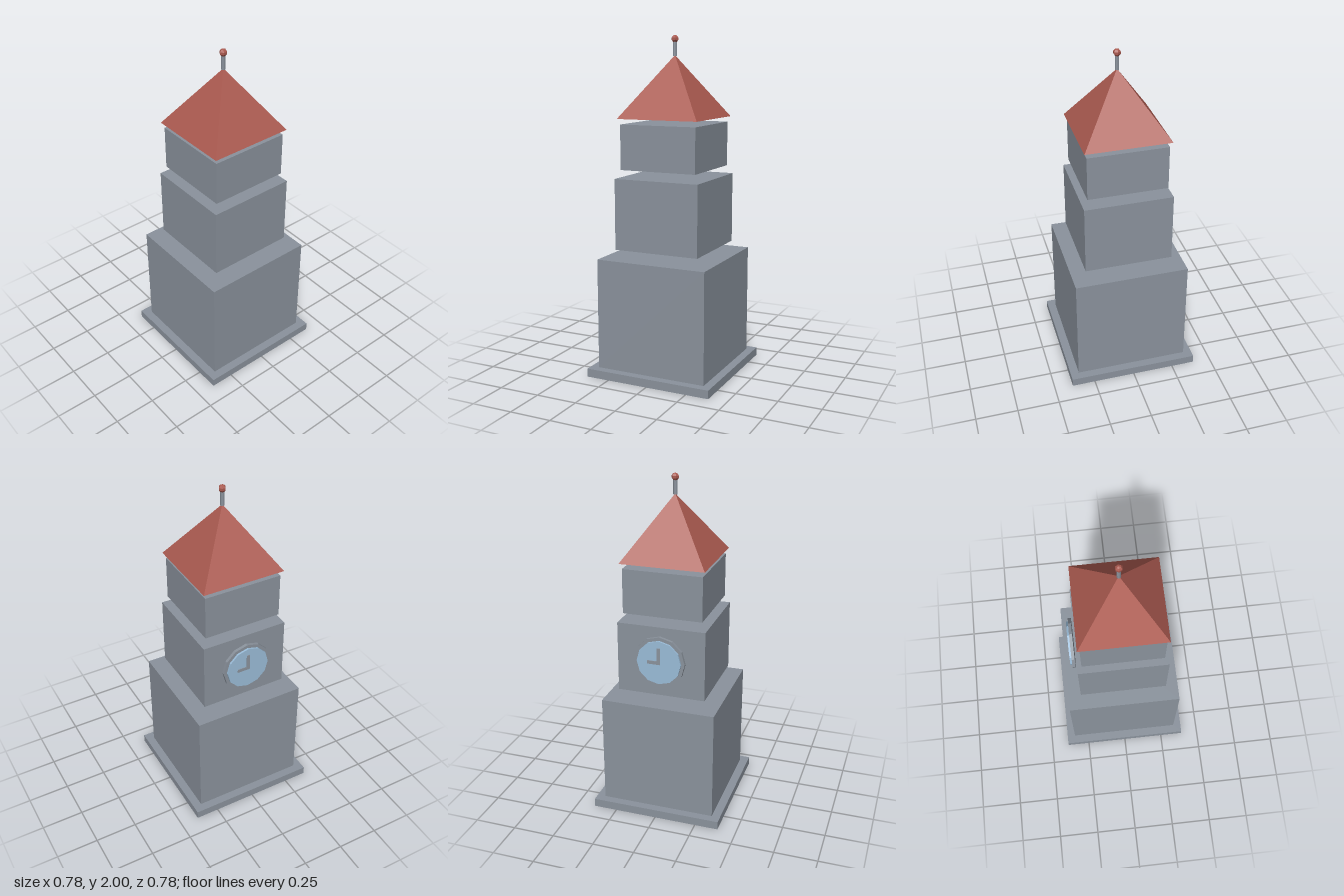
import * as THREE from 'three';

export function createModel() {
  const model = new THREE.Group();
  const material = (name, color) => {
    const m = new THREE.MeshStandardMaterial({ color, flatShading: true });
    m.name = name;
    return m;
  };
  const stone = material('stone grey', 0x8a929c);
  const tile = material('roof red', 0xab5a50);
  const glass = material('dial blue', 0x9abcd8);

  const add = (name, geometry, mat, x, y, z, parent = model) => {
    const mesh = new THREE.Mesh(geometry, mat);
    mesh.name = name;
    mesh.position.set(x, y, z);
    parent.add(mesh);
    return mesh;
  };

  // Plinth and stacked tiers, separated by narrow gaps: name, width, bottom, top
  const tiers = [
    ['plinth', 0.78, 0, 0.05],
    ['lowerTier', 0.68, 0.05, 0.71],
    ['middleTier', 0.524, 0.76, 1.18],
    ['upperTier', 0.472, 1.23, 1.493],
  ];
  for (const [name, width, bottom, top] of tiers) {
    add(name, new THREE.BoxGeometry(width, top - bottom, width), stone, 0, (bottom + top) / 2, 0);
  }

  // Four-sided roof, turned so its faces line up with the walls
  const roof = new THREE.ConeGeometry(0.25 * Math.SQRT2, 0.36, 4).rotateY(Math.PI / 4);
  add('roof', roof, tile, 0, 1.705, 0);

  // Finial: thin post and ball
  add('finialPost', new THREE.CylinderGeometry(0.012, 0.012, 0.09, 8), stone, 0, 1.925, 0);
  add('finialBall', new THREE.SphereGeometry(0.022, 6, 5), tile, 0, 1.978, 0);

  // Clock on the back wall
  const clock = new THREE.Group();
  clock.name = 'clock';
  clock.position.set(0, 0.98, 0);
  model.add(clock);
  const disc = (radius, depth) =>
    new THREE.CylinderGeometry(radius, radius, depth, 12).rotateX(Math.PI / 2).rotateZ(Math.PI / 2);
  add('clockRim', disc(0.152, 0.018), stone, 0, 0, -0.282, clock);
  add('clockDial', disc(0.132, 0.012), glass, 0, 0, -0.297, clock);
  add('minuteHand', new THREE.BoxGeometry(0.02, 0.1, 0.004), stone, 0, 0.04, -0.305, clock);
  add('hourHand', new THREE.BoxGeometry(0.058, 0.02, 0.004), stone, 0.039, 0, -0.305, clock);

  return model;
}
